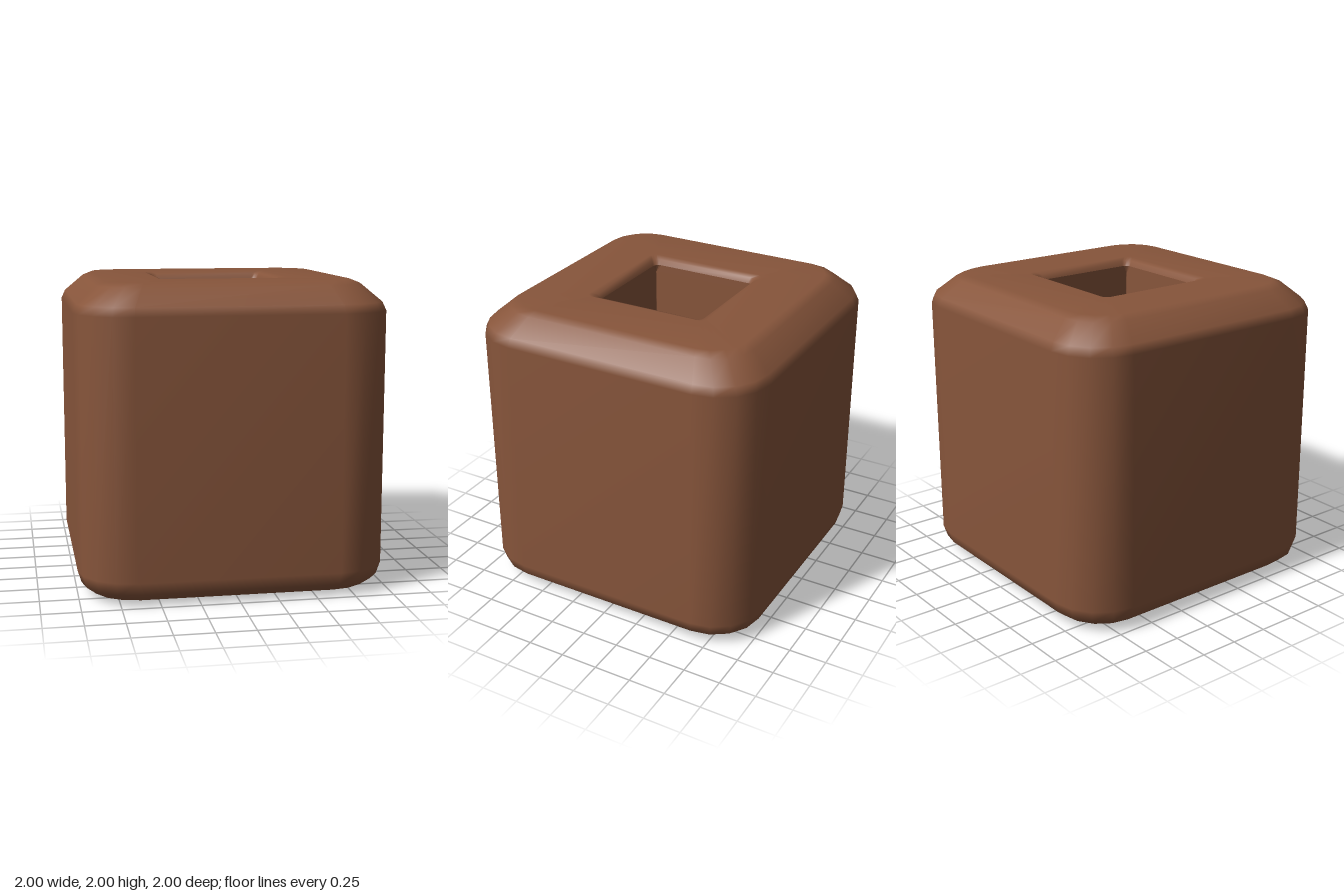
import * as THREE from 'three';

const STEPS = 4; // segments per rounded corner

// Rounded square cross-section at height y
function ring([half, radius, y]) {
  const pts = [];
  for (let c = 0; c < 4; c++) {
    const mid = (c + 0.5) * Math.PI / 2;
    const cx = Math.sign(Math.cos(mid)) * (half - radius);
    const cz = Math.sign(Math.sin(mid)) * (half - radius);
    for (let s = 0; s <= STEPS; s++) {
      const a = (c + s / STEPS) * Math.PI / 2;
      pts.push(cx + radius * Math.cos(a), y, cz + radius * Math.sin(a));
    }
  }
  return pts;
}

// Skin a run of cross-sections
function loft(sections, flat) {
  const n = 4 * (STEPS + 1);
  const index = [];
  for (let k = 0; k < sections.length - 1; k++) {
    for (let i = 0; i < n; i++) {
      const j = (i + 1) % n;
      const a = k * n + i, b = k * n + j, c = a + n, d = b + n;
      index.push(a, c, b, b, c, d);
    }
  }
  let g = new THREE.BufferGeometry();
  g.setAttribute('position', new THREE.Float32BufferAttribute(sections.flatMap(ring), 3));
  g.setIndex(index);
  if (flat) g = g.toNonIndexed();
  g.computeVertexNormals();
  return g;
}

export function createModel() {
  const group = new THREE.Group();
  group.name = 'hollowBlock';
  const brown = new THREE.MeshStandardMaterial({ color: 0x87553b });
  brown.name = 'brown';

  const add = (name, geometry) => {
    const mesh = new THREE.Mesh(geometry, brown);
    mesh.name = name;
    group.add(mesh);
  };

  // Outer shell: underside, rounded base, sides, chamfered top, soft rim
  add('shell', loft([
    [0.41, 0.005, 0],
    [0.82, 0.24, 0],
    [0.91, 0.29, 0.025],
    [0.975, 0.33, 0.08],
    [1, 0.35, 0.16],
    [1, 0.35, 1.81],
    [0.975, 0.33, 1.865],
    [0.85, 0.26, 1.975],
    [0.79, 0.22, 2],
    [0.43, 0.05, 2],
    [0.39, 0.045, 1.985],
    [0.375, 0.04, 1.95],
  ], false));

  // Square shaft with a crisp bevel at the bottom opening
  add('shaft', loft([
    [0.375, 0.04, 1.95],
    [0.375, 0.005, 1.9],
    [0.375, 0.005, 0.06],
    [0.41, 0.005, 0],
  ], true));

  return group;
}
